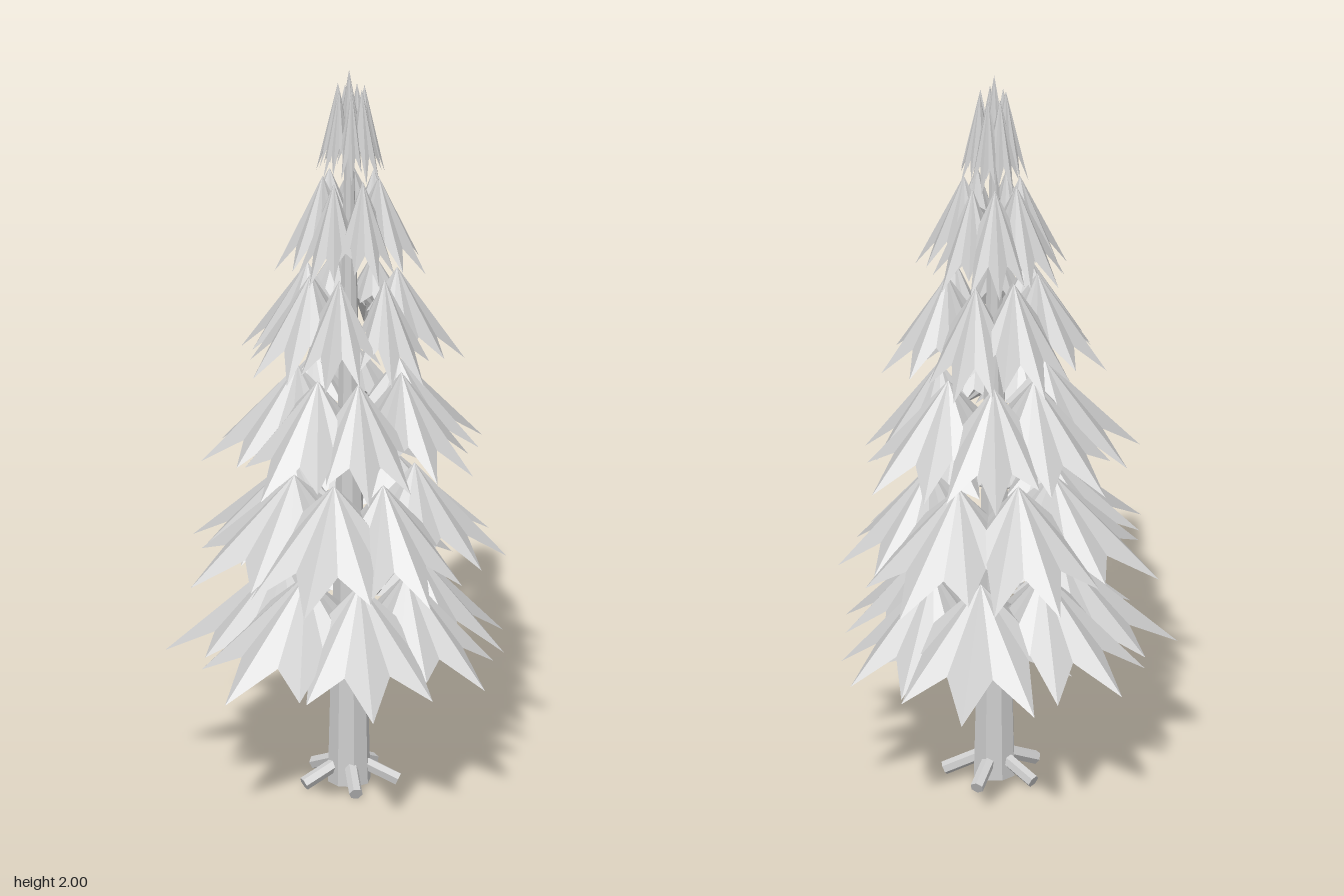
import * as THREE from 'three';

const gray = new THREE.MeshStandardMaterial({ color: 0xcccccc });
gray.name = 'pale gray';
gray.flatShading = true;
gray.side = THREE.DoubleSide;

// Small seeded generator for natural variation
let seed = 11;
const rand = () => (seed = (seed * 16807) % 2147483647) / 2147483647;
const vary = (amount) => 1 + (rand() * 2 - 1) * amount;

// Spikes around one bough: angle from outward, reach and drop as fractions
const SPIKES = [
  [0, 1, 1], [38, 0.88, 0.92], [80, 0.78, 0.8], [130, 0.5, 0.6],
  [180, 0.45, 0.45], [230, 0.5, 0.6], [280, 0.78, 0.8], [322, 0.88, 0.92],
];

// Boughs around a tier: direction in degrees and relative length
const BOUGHS = [[6, 0.93], [52, 1.03], [100, 1.06], [151, 1.03], [200, 0.99], [256, 1.04], [305, 0.92]];

// A hollow star-shaped umbrella of needles, apex at the origin, pointing along +x
function boughGeometry(reach, drop) {
  const rim = [];
  const add = (deg, r, y) => {
    const a = THREE.MathUtils.degToRad(deg);
    rim.push(new THREE.Vector3(Math.cos(a) * r, -y, Math.sin(a) * r));
  };
  SPIKES.forEach(([deg, r, d], i) => {
    const [nextDeg, nextR, nextD] = SPIKES[(i + 1) % SPIKES.length];
    const end = nextDeg < deg ? nextDeg + 360 : nextDeg;
    const k = i === 0 ? 1 : vary(0.08);
    add(deg, reach * r * k, drop * d * k);
    // notch between two spikes, sunk a little to form ridges
    add((deg + end) / 2, reach * (r + nextR) * 0.32, drop * (d + nextD) * 0.37);
  });
  const apex = new THREE.Vector3();
  const points = [];
  rim.forEach((p, i) => points.push(apex, rim[(i + 1) % rim.length], p));
  const geometry = new THREE.BufferGeometry().setFromPoints(points);
  geometry.computeVertexNormals();
  return geometry;
}

export function createModel() {
  const tree = new THREE.Group();
  tree.name = 'pineTree';
  const cx = -0.008, cz = 0.008;

  // Tapered trunk
  const trunk = new THREE.Mesh(new THREE.CylinderGeometry(0.009, 0.057, 1.89, 8), gray);
  trunk.name = 'trunk';
  trunk.position.set(cx, 0.955, cz);
  tree.add(trunk);

  // Five stubby roots
  const up = new THREE.Vector3(0, 1, 0);
  for (let i = 0; i < 5; i++) {
    const a = THREE.MathUtils.degToRad(51 + i * 72);
    const from = new THREE.Vector3(Math.cos(a) * 0.03, 0.065, Math.sin(a) * 0.03);
    const to = new THREE.Vector3(Math.cos(a) * 0.13, 0.02, Math.sin(a) * 0.13);
    const dir = to.clone().sub(from);
    const root = new THREE.Mesh(new THREE.CylinderGeometry(0.018, 0.018, dir.length(), 6), gray);
    root.name = 'root';
    root.position.copy(from).add(to).multiplyScalar(0.5);
    root.position.x += cx;
    root.position.z += cz;
    root.quaternion.setFromUnitVectors(up, dir.normalize());
    tree.add(root);
  }

  // Tiers: apex height, apex radius, outer radius, drop; each turned past the one below
  const tiers = [
    [0.64, 0.18, 0.47, 0.27],
    [0.90, 0.165, 0.44, 0.265],
    [1.18, 0.14, 0.37, 0.265],
    [1.455, 0.12, 0.285, 0.262],
    [1.715, 0.075, 0.195, 0.26],
    [1.96, 0.036, 0.092, 0.25],
  ];
  tiers.forEach(([y, inner, outer, drop], t) => {
    const tier = new THREE.Group();
    tier.name = 'foliageTier' + (t + 1);
    tier.position.set(cx / 2, y, cz / 2);
    for (const [deg, length] of BOUGHS) {
      const a = THREE.MathUtils.degToRad(deg + t * 22.5);
      const bough = new THREE.Mesh(boughGeometry(outer * length - inner, drop), gray);
      bough.name = 'bough';
      bough.position.set(Math.cos(a) * inner, -rand() * 0.015, Math.sin(a) * inner);
      bough.rotation.y = -a;
      tier.add(bough);
    }
    tree.add(tier);
  });

  // Pointed crown
  const crown = new THREE.Mesh(boughGeometry(0.045, 0.25), gray);
  crown.name = 'crown';
  crown.position.set(cx, 2, cz);
  tree.add(crown);
  return tree;
}
